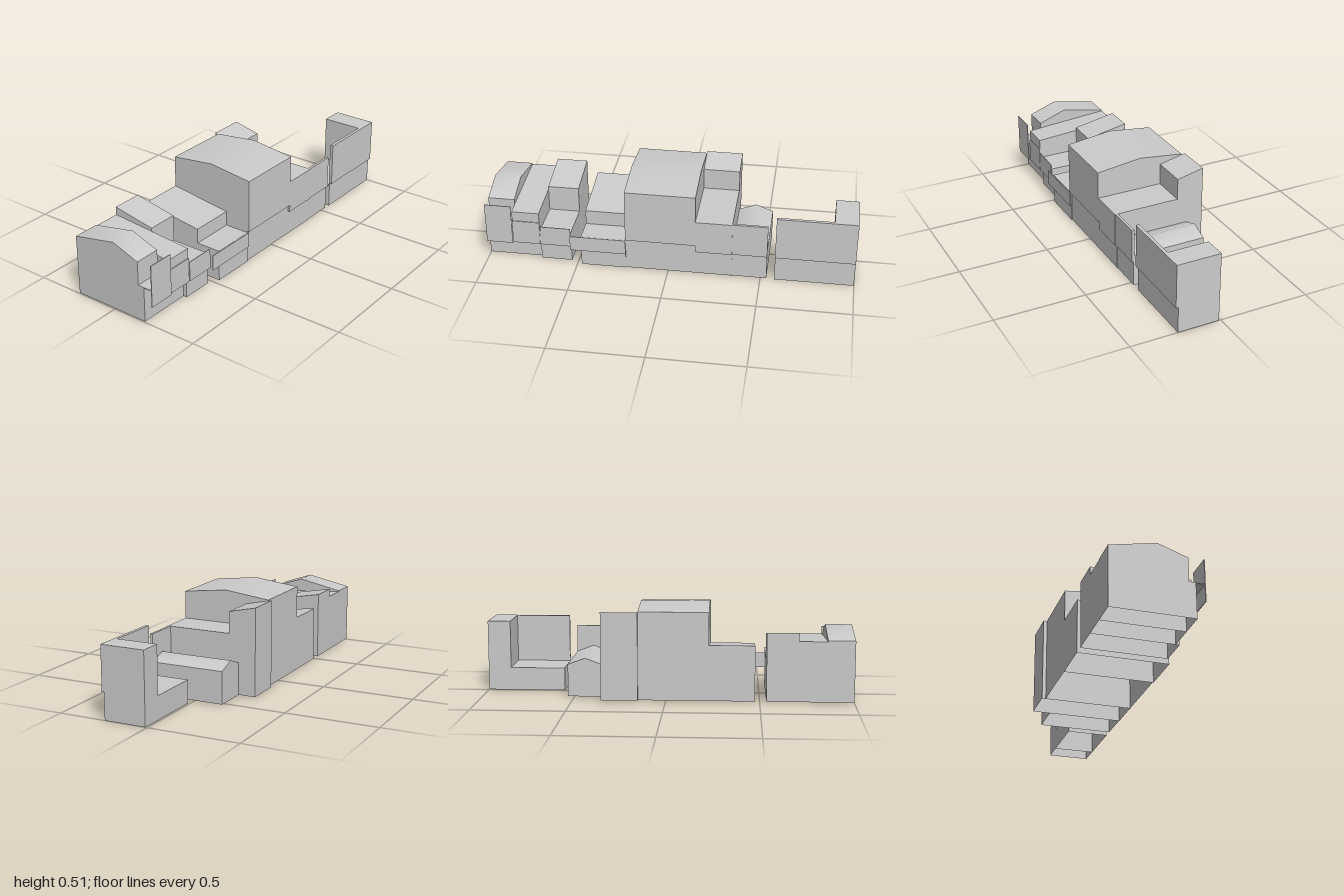
import * as THREE from 'three';
import { toCreasedNormals } from 'three/addons/utils/BufferGeometryUtils.js';

const material = new THREE.MeshStandardMaterial({ color: 0xcccccc, side: THREE.DoubleSide });
const base = 0.005;

function add(parent, name, geometry) {
  const mesh = new THREE.Mesh(geometry, material);
  mesh.name = name;
  parent.add(mesh);
}

// Thin upright panel given by its limits
function panel(parent, name, x0, x1, y0, y1, z, depth = 0.004) {
  const g = new THREE.BoxGeometry(x1 - x0, y1 - y0, depth);
  g.translate((x0 + x1) / 2, (y0 + y1) / 2, z - depth / 2);
  add(parent, name, g);
}

// Buildings are hollow shells: drop every triangle lying on the ground
function openBottom(source) {
  const p = source.getAttribute('position').array;
  const kept = [];
  for (let i = 0; i < p.length; i += 9) {
    if (Math.max(p[i + 1], p[i + 4], p[i + 7]) > base + 0.001) kept.push(...p.slice(i, i + 9));
  }
  const g = new THREE.BufferGeometry();
  g.setAttribute('position', new THREE.Float32BufferAttribute(kept, 3));
  g.computeVertexNormals();
  return toCreasedNormals(g, 0.8);
}

// Shell with a side profile of [z, y] points, drawn out from x0 to x1
function shell(parent, name, x0, x1, profile) {
  const shape = new THREE.Shape(profile.map(([z, y]) => new THREE.Vector2(-z, y)));
  const g = new THREE.ExtrudeGeometry(shape, { depth: x1 - x0, bevelEnabled: false });
  add(parent, name, openBottom(g.rotateY(Math.PI / 2).translate(x0, 0, 0)));
}

function building(parent, name) {
  const g = new THREE.Group();
  g.name = name;
  parent.add(g);
  return g;
}

export function createModel() {
  const model = new THREE.Group();
  model.name = 'streetRow';

  // Gabled end house with a porch ledge and a false front
  const end = building(model, 'gabledEndHouse');
  shell(end, 'gabledBody', -1, -0.855,
    [[-0.24, base], [0.2, base], [0.2, 0.2], [0.165, 0.2], [0.165, 0.33], [0.01, 0.385], [-0.24, 0.335]]);
  panel(end, 'porchLedge', -1, -0.855, 0.196, 0.2, 0.25, 0.05);
  panel(end, 'falseFront', -1, -0.855, 0.105, 0.335, 0.25);

  // Narrow house with one sloping roof
  const narrow = building(model, 'narrowHouse');
  shell(narrow, 'shedRoofBody', -0.855, -0.705,
    [[-0.24, base], [0.2, base], [0.2, 0.105], [0.235, 0.105], [0.235, 0.295], [-0.24, 0.33]]);
  panel(narrow, 'shopFront', -0.855, -0.705, 0.105, 0.24, 0.24);

  // House with a low front room and a tall rear block
  const stepped = building(model, 'steppedHouse');
  shell(stepped, 'steppedBody', -0.705, -0.535,
    [[-0.24, base], [0.22, base], [0.22, 0.105], [0.235, 0.105], [0.235, 0.185],
      [0, 0.185], [0, 0.33], [-0.24, 0.375]]);
  panel(stepped, 'frontParapet', -0.7, -0.535, 0.105, 0.215, 0.24);

  // Porch house: sloping rear block, flat porch and a front band reaching over the alley
  const porch = building(model, 'porchHouse');
  shell(porch, 'porchBody', -0.475, -0.23,
    [[-0.24, base], [0.25, base], [0.25, 0.178], [0.11, 0.178], [0.11, 0.26], [-0.24, 0.305]]);
  panel(porch, 'frontBand', -0.535, -0.23, 0.095, 0.18, 0.258);

  // Tall hall with a shallow ridge and an overhanging front
  const hall = building(model, 'tallHall');
  shell(hall, 'hallBody', -0.23, 0.148,
    [[-0.24, base], [0.245, base], [0.245, 0.185], [0.258, 0.185], [0.258, 0.48], [0.01, 0.51], [-0.24, 0.48]]);

  // Hall annex: flat front, raised rear block
  const annex = building(model, 'hallAnnex');
  shell(annex, 'annexBody', 0.148, 0.345,
    [[-0.26, base], [0.245, base], [0.245, 0.145], [0.257, 0.145], [0.257, 0.33],
      [-0.11, 0.33], [-0.11, 0.447], [-0.26, 0.48]]);

  // Small cottage, ridge running front to back, behind a false front
  const cottage = building(model, 'cottage');
  const gable = new THREE.Shape([[0.345, base], [0.533, base], [0.533, 0.18], [0.439, 0.215], [0.345, 0.18]]
    .map(([x, y]) => new THREE.Vector2(x, y)));
  const cottageGeo = new THREE.ExtrudeGeometry(gable, { depth: 0.408, bevelEnabled: false });
  add(cottage, 'cottageBody', openBottom(cottageGeo.translate(0, 0, -0.165)));
  panel(cottage, 'falseFront', 0.345, 0.533, 0.145, 0.33, 0.253, 0.014);

  // Corner shop: low room, tall end block and high front wall
  const shop = building(model, 'cornerShop');
  const front = [[0.01, 0], [0.24, 0], [0.24, 0.145], [0.253, 0.145], [0.253, 0.385]];
  shell(shop, 'lowRoom', 0.575, 0.875, [...front, [0.235, 0.385], [0.235, 0.125], [0.01, 0.125]]);
  shell(shop, 'endBlock', 0.875, 1, [...front, [0.01, 0.385]]);

  return model;
}
